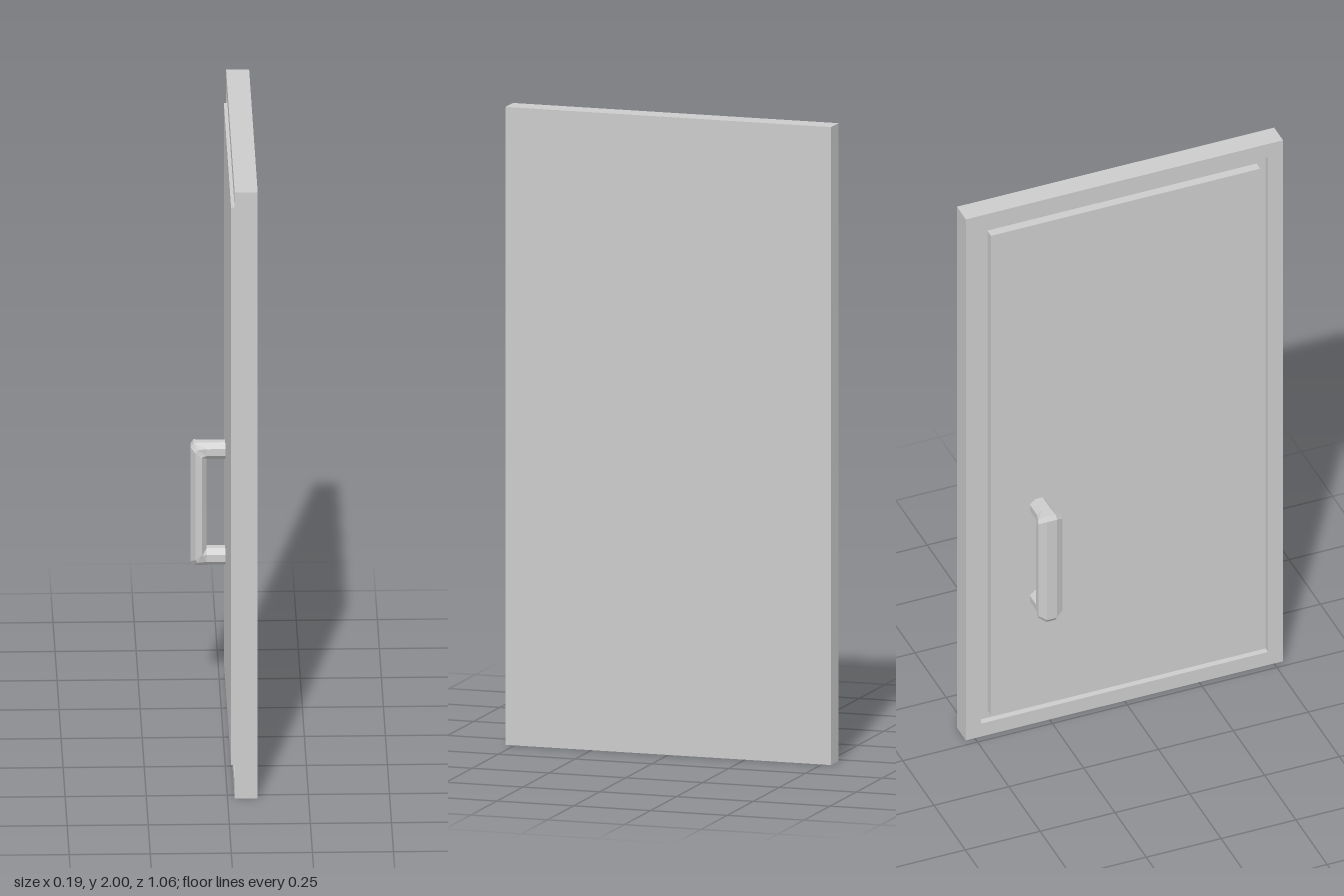
import * as THREE from 'three';

const material = new THREE.MeshStandardMaterial({ color: 0xcccccc, flatShading: true });

function addPart(group, name, geometry) {
  const mesh = new THREE.Mesh(geometry, material);
  mesh.name = name;
  group.add(mesh);
}

function box(x0, x1, y0, y1, halfZ) {
  return new THREE.BoxGeometry(x1 - x0, y1 - y0, 2 * halfZ)
    .translate((x0 + x1) / 2, (y0 + y1) / 2, 0);
}

function rectangle(PathType, halfWidth, y0, y1) {
  return new PathType([
    [-halfWidth, y0], [halfWidth, y0], [halfWidth, y1], [-halfWidth, y1],
  ].map(([x, y]) => new THREE.Vector2(x, y)));
}

// Octagonal bar bent into a pull; each ring spans an inner and an outer point
function handleGeometry() {
  const midY = 0.665, midZ = -0.29, sides = 8;
  // [inner x, inner y, outer x, outer y, half width], y relative to midY
  const half = [
    [0.015, 0.147, 0.015, 0.202, 0.03],
    [-0.045, 0.147, -0.045, 0.202, 0.03],
    [-0.045, 0.147, -0.084, 0.202, 0.038],
    [-0.045, 0.147, -0.094, 0.188, 0.04],
  ];
  const mirrored = half.map(([ix, iy, ox, oy, w]) => [ix, -iy, ox, -oy, w]).reverse();
  const rings = [...half, ...mirrored];
  const positions = [], index = [];
  rings.forEach(([ix, iy, ox, oy, w], i) => {
    for (let j = 0; j < sides; j++) {
      const a = (j + 0.5) / sides * Math.PI * 2, k = 1 / Math.cos(Math.PI / sides);
      const t = Math.cos(a) * k / 2 + 0.5;
      positions.push(ix + (ox - ix) * t, midY + iy + (oy - iy) * t, midZ + w * k * Math.sin(a));
      if (i === rings.length - 1) continue;
      const p = i * sides + j, q = i * sides + (j + 1) % sides;
      index.push(p, p + sides, q, q, p + sides, q + sides);
    }
  });
  const geometry = new THREE.BufferGeometry();
  geometry.setAttribute('position', new THREE.Float32BufferAttribute(positions, 3));
  geometry.setIndex(index);
  const flat = geometry.toNonIndexed();
  flat.computeVertexNormals();
  return flat;
}

export function createModel() {
  const door = new THREE.Group();
  door.name = 'door';

  // Solid slab behind the groove
  addPart(door, 'slab', box(0.042, 0.093, 0, 2, 0.53));

  // Raised border around the panel
  const border = rectangle(THREE.Shape, 0.53, 0, 2);
  border.holes.push(rectangle(THREE.Path, 0.48, 0.05, 1.95));
  addPart(door, 'frame', new THREE.ExtrudeGeometry(border, { depth: 0.02, bevelEnabled: false })
    .rotateY(-Math.PI / 2).translate(0.042, 0, 0));

  // Inset panel standing slightly proud of the frame
  addPart(door, 'panel', box(0.013, 0.042, 0.08, 1.92, 0.45));

  addPart(door, 'handle', handleGeometry());
  return door;
}
